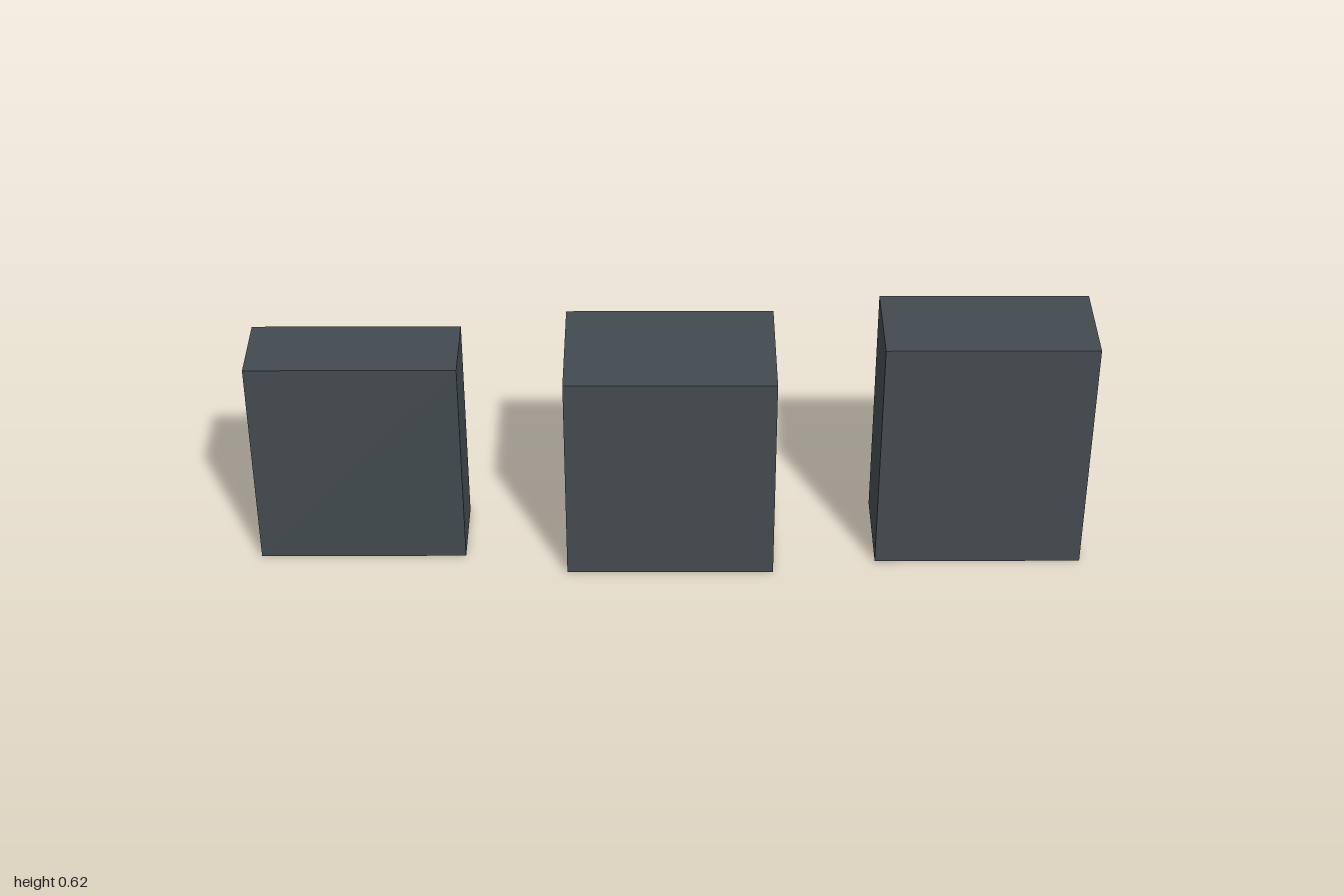
import * as THREE from 'three';

export function createModel() {
  const model = new THREE.Group();
  model.name = 'threeBlocks';
  const slate = new THREE.MeshStandardMaterial({ color: 0x434b50 });
  slate.name = 'dark slate';

  // Plain upright block standing on the ground
  const addBlock = (name, x, height, depth) => {
    const block = new THREE.Mesh(new THREE.BoxGeometry(0.5, height, depth), slate);
    block.name = name;
    block.position.set(x, height / 2, 0);
    model.add(block);
  };

  addBlock('thinBlock', -0.75, 0.548, 0.188);
  addBlock('deepBlock', 0, 0.548, 0.32);
  addBlock('tallBlock', 0.75, 0.616, 0.237);

  return model;
}
